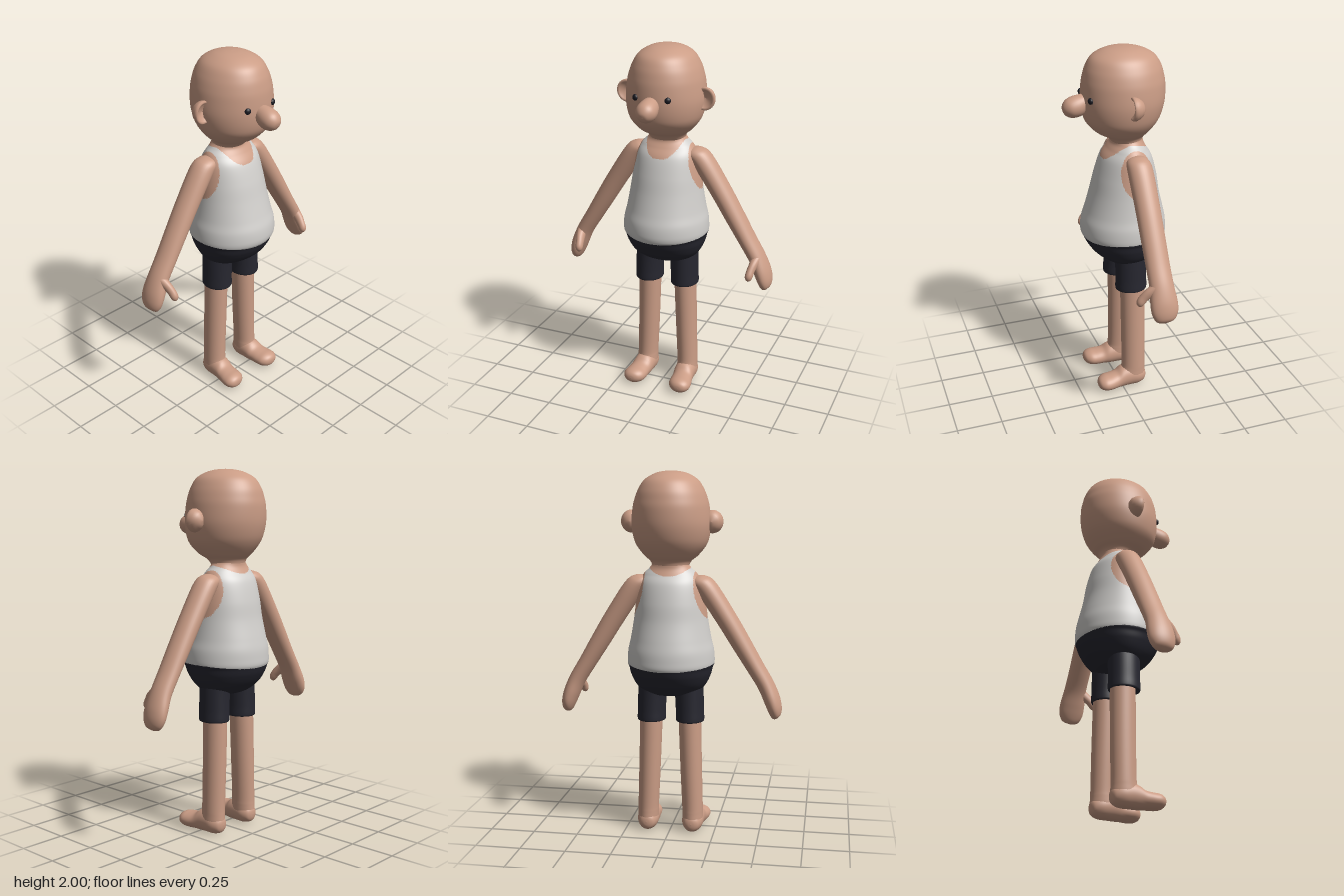
import * as THREE from 'three';

const V = (x, y, z) => new THREE.Vector3(x, y, z);
const X = V(1, 0, 0), Y = V(0, 1, 0), Z = V(0, 0, 1);

// Smooth skin over elliptical stations [x, y, z, ru, rv]; u x v points along the path.
// side = -1 mirrors in x; paint picks a material index for each face.
function sweep(stations, u, v, { rows = 40, cols = 36, side = 1, paint = null } = {}) {
  const centres = new THREE.CatmullRomCurve3(stations.map(s => V(s[0], s[1], s[2])), false, 'catmullrom', 0.5);
  const radii = new THREE.CatmullRomCurve3(stations.map(s => V(s[3], s[4], 0)), false, 'catmullrom', 0.5);
  const pos = [];
  for (let i = 0; i <= rows; i++) {
    const c = centres.getPoint(i / rows), r = radii.getPoint(i / rows);
    for (let j = 0; j < cols; j++) {
      const a = (j / cols) * Math.PI * 2;
      const p = c.clone()
        .addScaledVector(u, Math.cos(a) * Math.max(r.x, 0))
        .addScaledVector(v, Math.sin(a) * Math.max(r.y, 0));
      pos.push(p.x * side, Math.max(p.y, 0), p.z);
    }
  }
  const buckets = [[], [], []];
  const addFace = (a, b, c) => {
    const mid = k => (pos[a * 3 + k] + pos[b * 3 + k] + pos[c * 3 + k]) / 3;
    const m = paint ? paint(mid(0), mid(1), mid(2)) : 0;
    buckets[m].push(a, ...(side > 0 ? [b, c] : [c, b]));
  };
  for (let i = 0; i < rows; i++) {
    for (let j = 0; j < cols; j++) {
      const a = i * cols + j, b = i * cols + (j + 1) % cols;
      addFace(a, b, a + cols);
      addFace(b, b + cols, a + cols);
    }
  }
  const geo = new THREE.BufferGeometry();
  geo.setAttribute('position', new THREE.Float32BufferAttribute(pos, 3));
  geo.setIndex(buckets.flat());
  if (paint) {
    let start = 0;
    buckets.forEach((b, m) => { geo.addGroup(start, b.length, m); start += b.length; });
  }
  geo.computeVertexNormals();
  return geo;
}

// Upright station from [y, half width, front z, back z]
const slice = ([y, w, f, b]) => [0, y, (f + b) / 2, w, (f - b) / 2];

// Torso colouring: 0 skin, 1 vest, 2 shorts
function torsoPaint(x, y, z) {
  const hem = 0.962 - 0.018 * Math.min(1, ((z + 0.05) / 0.23) ** 2);
  if (y < hem) return 2;
  const ax = Math.abs(x);
  const neckline = z > -0.07 ? 1.4 + 0.08 * (ax / 0.105) ** 3 : 1.445 + 0.035 * (ax / 0.105) ** 2;
  if (y > Math.min(neckline, 1.488)) return 0;
  const armhole = ((y - 1.34) / 0.125) ** 2 + ((z + 0.07) / 0.088) ** 2;
  return armhole < 1 && ax > 0.08 ? 0 : 1;
}

export function createModel() {
  const model = new THREE.Group();
  model.name = 'cartoonMan';
  const mat = (name, color) => {
    const m = new THREE.MeshStandardMaterial({ color });
    m.name = name;
    return m;
  };
  const skin = mat('skin', 0xcb9d86), vest = mat('vestGrey', 0xd0cecb);
  const shorts = mat('shortsNavy', 0x272730), eye = mat('eyeBlack', 0x1b1b22);
  const add = (name, geo, material) => {
    const mesh = new THREE.Mesh(geo, material);
    mesh.name = name;
    model.add(mesh);
    return mesh;
  };

  // Head
  add('head', sweep([
    [2, 0, -0.045, -0.045], [1.996, 0.05, 0.01, -0.095], [1.982, 0.097, 0.07, -0.155],
    [1.95, 0.146, 0.125, -0.213], [1.9, 0.178, 0.155, -0.247], [1.85, 0.197, 0.17, -0.262],
    [1.8, 0.208, 0.178, -0.27], [1.72, 0.215, 0.181, -0.268], [1.65, 0.206, 0.173, -0.252],
    [1.6, 0.187, 0.153, -0.228], [1.55, 0.147, 0.105, -0.19], [1.52, 0.112, 0.05, -0.16],
    [1.49, 0.098, 0.02, -0.15],
  ].map(slice), X, Z, { rows: 72, cols: 64 }), skin);

  // Neck, vest and upper shorts share one body surface
  add('torso', sweep([
    [1.54, 0.1, 0.02, -0.15], [1.505, 0.1, 0.018, -0.152], [1.48, 0.118, 0.018, -0.155],
    [1.45, 0.148, 0.038, -0.17], [1.4, 0.172, 0.075, -0.2], [1.3, 0.19, 0.11, -0.227],
    [1.2, 0.204, 0.136, -0.243], [1.1, 0.221, 0.165, -0.267], [1.04, 0.235, 0.184, -0.28],
    [0.99, 0.24, 0.19, -0.284], [0.96, 0.239, 0.187, -0.284], [0.94, 0.231, 0.177, -0.277],
    [0.9, 0.221, 0.158, -0.26], [0.85, 0.198, 0.122, -0.226], [0.81, 0.163, 0.072, -0.18],
    [0.785, 0.11, 0.015, -0.13], [0.775, 0, -0.06, -0.06],
  ].map(slice), X, Z, { rows: 180, cols: 160, paint: torsoPaint }), [skin, vest, shorts]);

  // Drooping nose
  add('nose', sweep([
    [0, 1.728, 0.13, 0.04, 0.04], [0, 1.718, 0.17, 0.047, 0.049], [0, 1.704, 0.208, 0.055, 0.057],
    [0, 1.694, 0.24, 0.054, 0.054], [0, 1.686, 0.262, 0.043, 0.043],
    [0, 1.68, 0.278, 0.024, 0.024], [0, 1.678, 0.283, 0, 0],
  ], X, V(0, 0.93, 0.37), { rows: 30 }), skin);

  // Cupped ear profile: dome at the back, dish at the front
  const earProfile = [
    [0, -0.07], [0.02, -0.067], [0.038, -0.056], [0.051, -0.038], [0.058, -0.018],
    [0.058, -0.006], [0.053, 0], [0.045, -0.004], [0.03, -0.018], [0, -0.025],
  ].map(([r, h]) => new THREE.Vector2(r, h));

  for (const side of [1, -1]) {
    const label = side > 0 ? 'left' : 'right';

    // Ear
    const ear = add(label + 'Ear',
      new THREE.LatheGeometry(earProfile, 32).rotateX(Math.PI / 2).scale(1, 1.07, 1), skin);
    ear.position.set(side * 0.222, 1.73, -0.015);

    // Eye
    const eyeMesh = add(label + 'Eye', new THREE.SphereGeometry(0.017, 20, 14).scale(1, 1, 0.7), eye);
    eyeMesh.position.set(side * 0.091, 1.751, 0.161);
    eyeMesh.rotation.y = side * 0.42;

    // Arm and mitten hand
    add(label + 'Arm', sweep([
      [0.115, 1.43, -0.073, 0.03, 0.03], [0.15, 1.418, -0.073, 0.05, 0.058],
      [0.2, 1.375, -0.075, 0.058, 0.068], [0.307, 1.215, -0.076, 0.056, 0.067],
      [0.39, 1.08, -0.076, 0.053, 0.066], [0.466, 0.955, -0.076, 0.048, 0.065],
      [0.524, 0.86, -0.077, 0.046, 0.066], [0.558, 0.785, -0.078, 0.046, 0.074],
      [0.576, 0.735, -0.079, 0.042, 0.073], [0.586, 0.7, -0.079, 0.034, 0.06],
      [0.59, 0.681, -0.079, 0.022, 0.04], [0.59, 0.672, -0.079, 0, 0],
    ], V(0.853, 0.522, 0), Z, { side, rows: 60 }), skin);

    // Thumb
    add(label + 'Thumb', sweep([
      [0.535, 0.865, -0.06, 0.03, 0.035], [0.528, 0.835, -0.015, 0.025, 0.032],
      [0.52, 0.805, 0.018, 0.022, 0.026], [0.517, 0.78, 0.036, 0.021, 0.023],
      [0.516, 0.764, 0.044, 0.014, 0.015], [0.516, 0.756, 0.048, 0, 0],
    ], X, V(0, 0.55, 0.835), { side, rows: 24, cols: 24 }), skin);

    // Shorts leg with a rounded cuff
    add(label + 'ShortsLeg', sweep([
      [0.1, 0.86, -0.06, 0.08, 0.09], [0.104, 0.78, -0.06, 0.079, 0.088],
      [0.107, 0.7, -0.06, 0.078, 0.088], [0.108, 0.655, -0.06, 0.079, 0.089],
      [0.108, 0.641, -0.06, 0.078, 0.088], [0.108, 0.637, -0.06, 0.072, 0.082],
      [0.108, 0.645, -0.06, 0.05, 0.06],
    ], X, Z, { side, rows: 36 }), shorts);

    // Leg
    add(label + 'Leg', sweep([
      [0.108, 0.7, -0.068, 0.062, 0.069], [0.11, 0.6, -0.069, 0.062, 0.07],
      [0.118, 0.35, -0.071, 0.06, 0.069], [0.125, 0.16, -0.071, 0.058, 0.068],
      [0.126, 0.11, -0.069, 0.058, 0.071], [0.127, 0.06, -0.063, 0.057, 0.078],
      [0.127, 0.02, -0.063, 0.045, 0.065],
    ], X, Z, { side }), skin);

    // Foot, turned slightly outwards
    add(label + 'Foot', sweep([
      [0.126, 0.055, -0.146, 0, 0], [0.126, 0.055, -0.142, 0.022, 0.025],
      [0.126, 0.055, -0.128, 0.042, 0.045], [0.127, 0.06, -0.09, 0.058, 0.062],
      [0.128, 0.065, -0.04, 0.06, 0.068], [0.13, 0.06, 0.002, 0.06, 0.063],
      [0.135, 0.05, 0.035, 0.06, 0.05], [0.14, 0.046, 0.075, 0.064, 0.046],
      [0.143, 0.046, 0.11, 0.062, 0.043], [0.145, 0.046, 0.135, 0.046, 0.033],
      [0.146, 0.046, 0.147, 0.024, 0.018], [0.146, 0.046, 0.15, 0, 0],
    ], X, Y, { side, rows: 48 }), skin);
  }
  return model;
}
